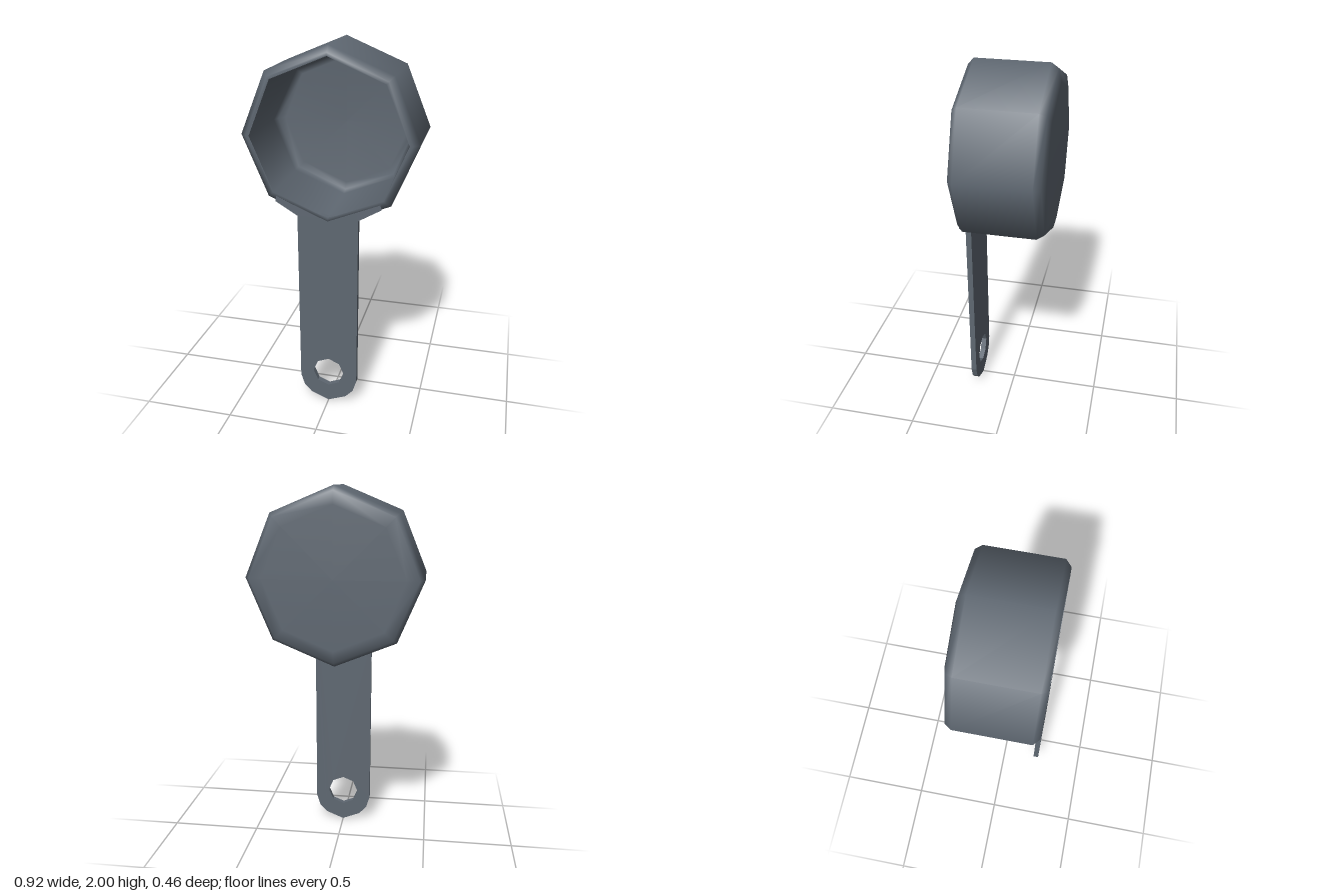
import * as THREE from 'three';

export function createModel() {
  const group = new THREE.Group();
  const slate = new THREE.MeshStandardMaterial({ color: 0x5f6872 });
  slate.name = 'slate grey';

  const add = (name, geometry) => {
    const mesh = new THREE.Mesh(geometry, slate);
    mesh.name = name;
    group.add(mesh);
  };

  // Eight-sided cup turned to open toward +z; profile pairs are radius, z
  const turned = (profile) => new THREE.LatheGeometry(
    profile.map(([r, z]) => new THREE.Vector2(r, z)), 8
  ).rotateX(Math.PI / 2).translate(0, 1.54, 0);

  add('cupOutside', turned([
    [0, -0.23], [0.37, -0.23], [0.435, -0.215], [0.46, -0.18],
    [0.46, 0.2], [0.427, 0.23], [0.41, 0.23],
  ]));
  add('cupInside', turned([
    [0.41, 0.23], [0.4, -0.13], [0.385, -0.165], [0.35, -0.19], [0, -0.2],
  ]));

  // Flat handle: right half of the outline from the tip up, then mirrored
  const half = [
    [0.1, 0.04], [0.142, 0.085], [0.162, 0.15], [0.162, 1.13],
    [0.28, 1.2], [0.275, 1.23], [0.15, 1.18],
  ];
  const outline = [
    [0, 0], ...half, [0, 1.135],
    ...half.map(([x, y]) => [-x, y]).reverse(),
  ].map(([x, y]) => new THREE.Vector2(x, y));
  const shape = new THREE.Shape(outline);

  // Octagonal hanging hole
  const hole = [];
  for (let i = 0; i < 8; i++) {
    const a = -i * Math.PI / 4;
    hole.push(new THREE.Vector2(0.087 * Math.cos(a), 0.19 + 0.087 * Math.sin(a)));
  }
  shape.holes.push(new THREE.Path(hole));
  add('handle', new THREE.ExtrudeGeometry(shape, { depth: 0.03, bevelEnabled: false })
    .translate(0, 0, 0.2));

  return group;
}
